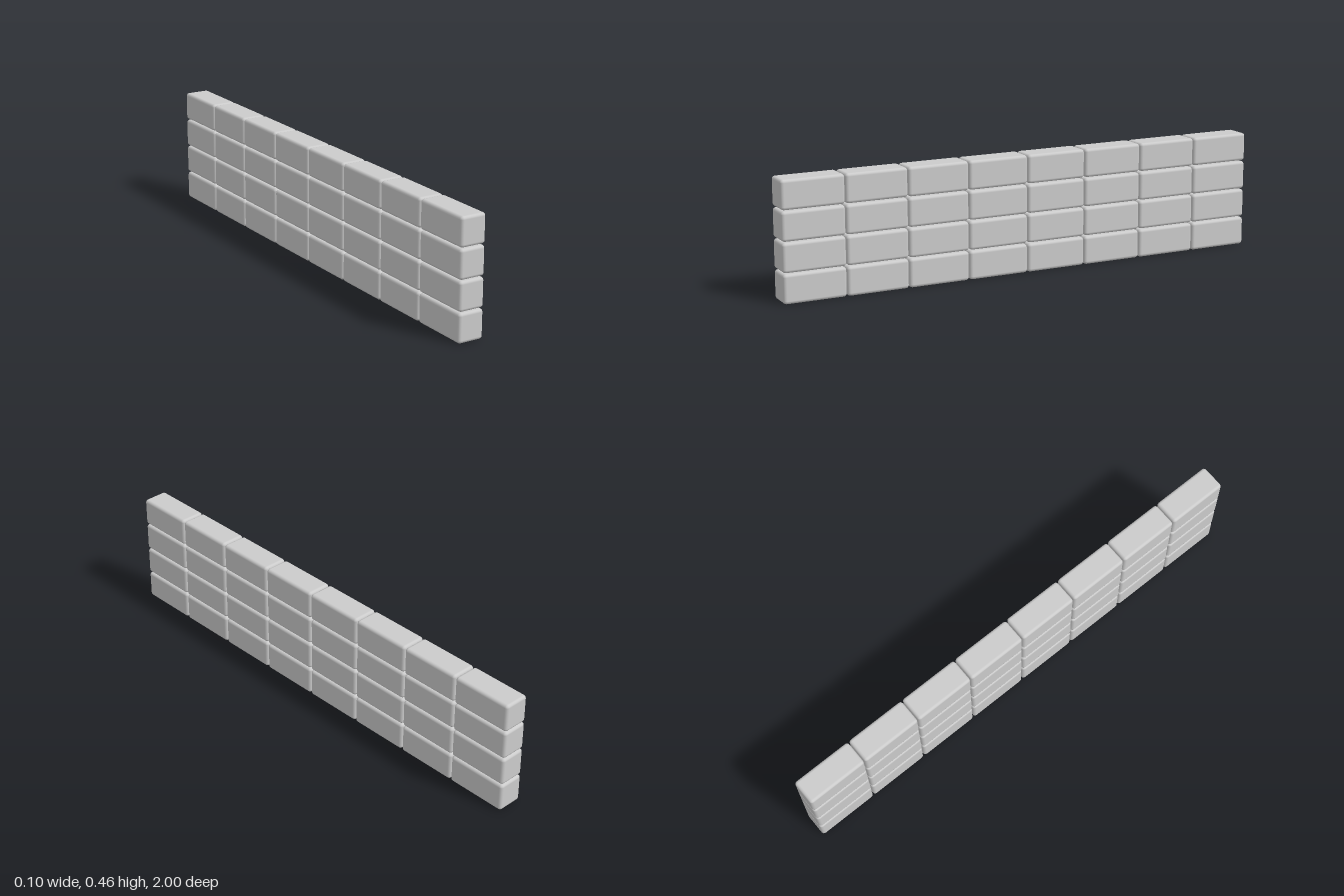
import * as THREE from 'three';
import { RoundedBoxGeometry } from 'three/addons/geometries/RoundedBoxGeometry.js';

const ROWS = 4, COLUMNS = 8;
const WIDTH = 0.104, HEIGHT = 0.113, LENGTH = 0.247;
const TOTAL_HEIGHT = 0.464, TOTAL_LENGTH = 2;

export function createModel() {
  const wall = new THREE.Group();
  wall.name = 'brickWall';
  const material = new THREE.MeshStandardMaterial({ color: 0xcccccc });
  // One brick with softly rounded edges, shared by the whole wall
  const brickGeometry = new RoundedBoxGeometry(WIDTH, HEIGHT, LENGTH, 2, 0.012);
  const rowStep = (TOTAL_HEIGHT - HEIGHT) / (ROWS - 1);
  const columnStep = (TOTAL_LENGTH - LENGTH) / (COLUMNS - 1);

  // Stacked courses, joints aligned, with narrow gaps between bricks
  for (let row = 0; row < ROWS; row++) {
    const course = new THREE.Group();
    course.name = `course${row + 1}`;
    course.position.y = HEIGHT / 2 + row * rowStep;
    for (let column = 0; column < COLUMNS; column++) {
      const brick = new THREE.Mesh(brickGeometry, material);
      brick.name = `brick${column + 1}`;
      brick.position.z = (column - (COLUMNS - 1) / 2) * columnStep;
      course.add(brick);
    }
    wall.add(course);
  }
  return wall;
}
